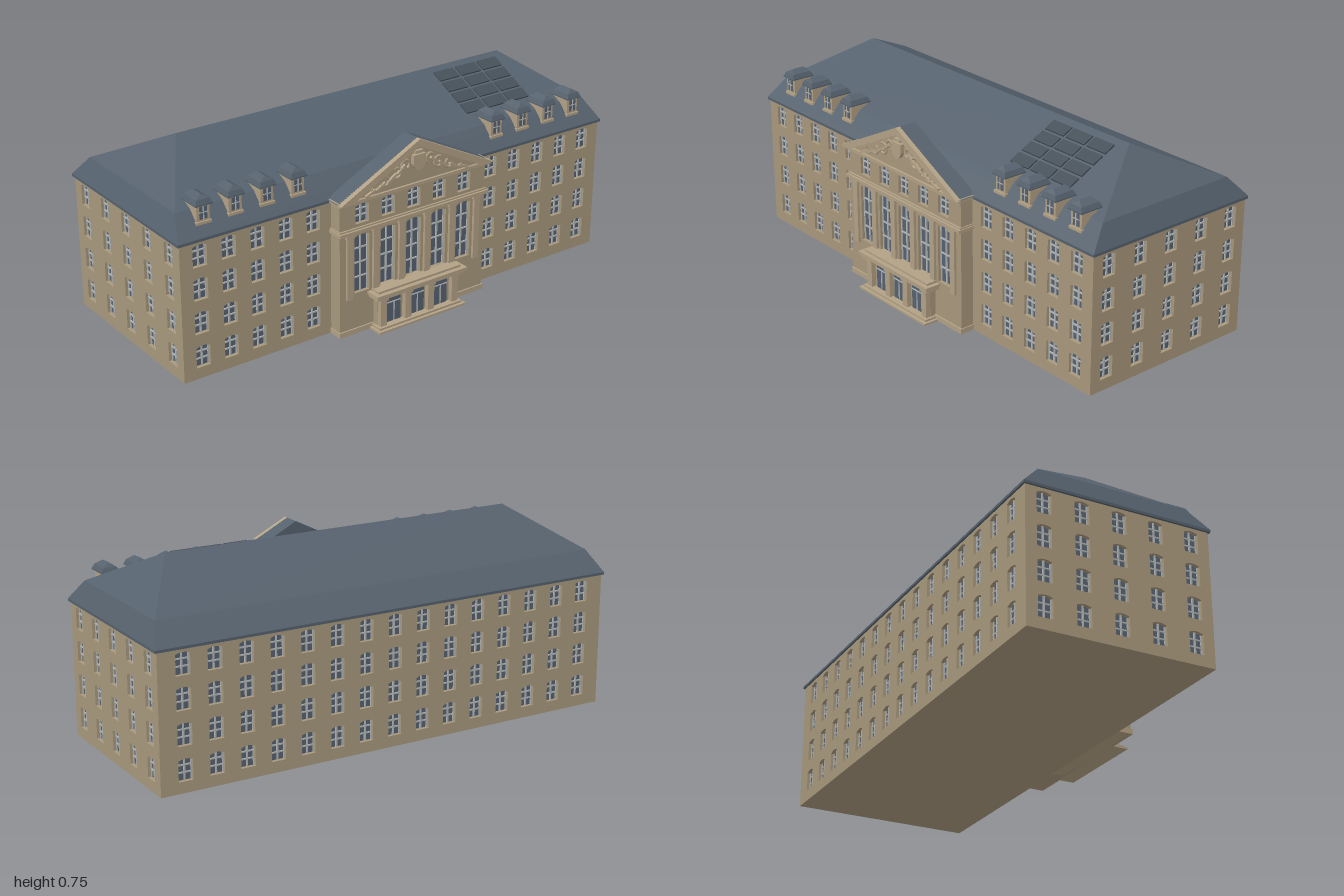
import * as THREE from 'three';
import { mergeGeometries } from 'three/addons/utils/BufferGeometryUtils.js';

const mat = (name, color) => Object.assign(new THREE.MeshStandardMaterial({ color }), { name });

export function createModel() {
  const wallMat = mat('sandstone', 0xa8987c);
  const trimMat = mat('pale stone', 0xb2a185);
  const roofMat = mat('slate', 0x55616d);
  const glassMat = mat('glass', 0x566270);
  const frameMat = mat('window frame', 0xb2b4b4);
  const panelMat = mat('solar panel', 0x465059);

  const model = new THREE.Group();
  model.name = 'building';
  const house = new THREE.Group();
  house.name = 'house';
  house.rotation.y = 0.614;
  model.add(house);

  const add = (name, geo, material, parent = house) => {
    const mesh = new THREE.Mesh(geo, material);
    mesh.name = name;
    parent.add(mesh);
    return mesh;
  };
  // Box given by its limits
  const block = (x0, x1, y0, y1, z0, z1) =>
    new THREE.BoxGeometry(x1 - x0, y1 - y0, z1 - z0).translate((x0 + x1) / 2, (y0 + y1) / 2, (z0 + z1) / 2);
  const polygon = pts => new THREE.Shape(pts.map(p => new THREE.Vector2(...p)));
  const slab = (shape, z0, z1) =>
    new THREE.ExtrudeGeometry(shape, { depth: z1 - z0, bevelEnabled: false, curveSegments: 4 }).translate(0, 0, z0);

  // Roof skin through rectangular rings [halfWidth, halfDepth, y]
  const loft = rings => {
    const pos = [];
    const corner = ([w, d, y], i) => [[-w, y, d], [w, y, d], [w, y, -d], [-w, y, -d]][i % 4];
    for (let r = 0; r + 1 < rings.length; r++) {
      for (let i = 0; i < 4; i++) {
        const a = corner(rings[r], i), b = corner(rings[r], i + 1);
        const c = corner(rings[r + 1], i + 1), d = corner(rings[r + 1], i);
        pos.push(...a, ...b, ...c, ...a, ...c, ...d);
      }
    }
    const geo = new THREE.BufferGeometry();
    geo.setAttribute('position', new THREE.Float32BufferAttribute(pos, 3));
    geo.computeVertexNormals();
    return geo;
  };

  // Wall with gently arched openings, glass behind and glazing bars
  const T = 0.016;
  const makeWall = (name, width, height, openings, x, z, turn) => {
    const g = new THREE.Group();
    g.name = name;
    g.position.set(x, 0, z);
    g.rotation.y = turn;
    house.add(g);
    const w2 = width / 2;
    const shape = polygon([[-w2, 0], [w2, 0], [w2, height], [-w2, height]]);
    const bars = [];
    for (const o of openings) {
      const l = o.x - o.w / 2, r = o.x + o.w / 2, t = o.y + o.h;
      const hole = new THREE.Path();
      hole.moveTo(l, o.y);
      hole.lineTo(l, t - 0.007);
      hole.quadraticCurveTo(o.x, t + 0.007, r, t - 0.007);
      hole.lineTo(r, o.y);
      hole.closePath();
      shape.holes.push(hole);
      bars.push(block(o.x - 0.003, o.x + 0.003, o.y, t, -T, -T + 0.006));
      for (const f of o.bars) {
        const y = o.y + o.h * f;
        bars.push(block(l, r, y - 0.0025, y + 0.0025, -T, -T + 0.006));
      }
      for (const s of [l, r]) bars.push(block(s - 0.004, s + 0.004, o.y, t - 0.006, -T, -T + 0.005));
    }
    add('wallFace', slab(shape, -T, 0), wallMat, g);
    add('glazing', new THREE.PlaneGeometry(width - 2 * T, height - 0.01).translate(0, height / 2, -T + 0.001), glassMat, g);
    add('glazingBars', mergeGeometries(bars), frameMat, g);
  };
  const ROWS = [0.043, 0.172, 0.3, 0.425];
  const grid = xs => ROWS.flatMap(y => xs.map(x => ({ x, y, w: 0.056, h: 0.083, bars: [0.35, 0.68] })));

  // Main block
  const HW = 0.947, HD = 0.362, EAVE = 0.53;
  const wing = [0.405, 0.52, 0.637, 0.753, 0.868];
  makeWall('frontWall', 2 * HW, EAVE, grid([...wing.map(x => -x), ...wing]), 0, HD, 0);
  makeWall('backWall', 2 * HW, EAVE, grid(Array.from({ length: 15 }, (_, i) => (i - 7) * 0.1215)), 0, -HD, Math.PI);
  for (const s of [-1, 1]) {
    makeWall(s < 0 ? 'rightEndWall' : 'leftEndWall', 2 * (HD - T), EAVE,
      grid([-0.29, -0.145, 0, 0.145, 0.29]), s * HW, 0, s * Math.PI / 2);
  }
  add('baseFloor', block(-HW, HW, 0, 0.008, -HD, HD), wallMat);
  add('eaves', block(-0.955, 0.955, EAVE - 0.01, EAVE, -0.369, 0.369), roofMat);
  add('mainRoof', loft([[0.955, 0.369, EAVE], [0.917, 0.295, 0.61], [0.732, 0, 0.755]]), roofMat);

  // Dormers along the front slope
  for (const s of [-1, 1]) {
    for (const x of [0.45, 0.578, 0.706, 0.833]) {
      const d = new THREE.Group();
      d.name = 'dormer';
      d.position.set(s * x, 0, 0);
      house.add(d);
      add('dormerBody', block(-0.026, 0.026, 0.56, 0.638, 0.25, 0.335), trimMat, d);
      add('dormerSill', block(-0.03, 0.03, 0.565, 0.575, 0.32, 0.341), trimMat, d);
      add('dormerGlass', block(-0.015, 0.015, 0.582, 0.628, 0.33, 0.337), glassMat, d);
      add('dormerBars', mergeGeometries([
        block(-0.002, 0.002, 0.582, 0.628, 0.334, 0.339),
        block(-0.015, 0.015, 0.606, 0.609, 0.334, 0.339)]), frameMat, d);
      add('dormerEaves', block(-0.034, 0.034, 0.634, 0.638, 0.25, 0.345), roofMat, d);
      add('dormerCap', loft([[0.034, 0.0475, 0.638], [0.026, 0.04, 0.655], [0, 0.025, 0.67]])
        .translate(0, 0, 0.2975), roofMat, d);
    }
  }

  // Solar panels lying on the upper front slope
  const slope = Math.atan2(0.145, 0.295);
  for (let c = 0; c < 3; c++) {
    for (let r = 0; r < 4; r++) {
      const z = 0.055 + r * 0.054;
      const p = add('solarPanel', new THREE.BoxGeometry(0.094, 0.006, 0.048), panelMat);
      p.position.set(0.435 + c * 0.106, 0.755 - 0.4915 * z + 0.006, z);
      p.rotation.x = slope;
    }
  }

  // Projecting centre bay
  const PW = 0.33, PZ = 0.415;
  const bays = [-0.232, -0.116, 0, 0.116, 0.232];
  add('bayBody', block(-PW, PW, 0, EAVE, 0.34, PZ - T), wallMat);
  makeWall('bayFront', 2 * PW, EAVE, [
    ...bays.map(x => ({ x, y: 0.432, w: 0.058, h: 0.075, bars: [0.35, 0.68] })),
    ...bays.map(x => ({ x, y: 0.16, w: 0.066, h: 0.228, bars: [0.25, 0.5, 0.75] })),
  ], 0, PZ, 0);
  const trims = [
    block(-PW - 0.008, PW + 0.008, 0.402, 0.414, 0.36, PZ + 0.015),
    block(-PW - 0.004, PW + 0.004, 0.414, 0.42, 0.36, PZ + 0.007),
    block(-PW - 0.012, PW + 0.012, 0.522, 0.534, 0.36, PZ + 0.022),
    block(-PW - 0.004, PW + 0.004, 0, 0.02, 0.36, PZ + 0.006),
  ];
  for (let i = 0; i < 6; i++) {
    const x = (i - 2.5) * 0.116;
    trims.push(block(x - 0.013, x + 0.013, 0.145, 0.39, PZ, PZ + 0.01));
    trims.push(block(x - 0.018, x + 0.018, 0.388, 0.403, PZ, PZ + 0.013));
  }
  add('bayTrim', mergeGeometries(trims), trimMat);

  // Gable with raking cornice
  add('gableRoof', slab(polygon([[-0.345, EAVE], [0.345, EAVE], [0, 0.703]]), 0.355, 0.425), roofMat);
  add('tympanum', slab(polygon([[-0.33, EAVE], [0.33, EAVE], [0, 0.695]]), 0.42, 0.428), wallMat);
  const rake = polygon([[-0.345, EAVE], [-0.29, EAVE], [0, 0.675], [0.29, EAVE], [0.345, EAVE], [0, 0.703]]);
  add('rakingCornice', slab(rake, 0.42, 0.444), trimMat);

  // Gable relief: shield, crown and scrolls
  const shield = new THREE.Shape();
  shield.moveTo(-0.027, 0.645);
  shield.lineTo(0.027, 0.645);
  shield.lineTo(0.027, 0.61);
  shield.quadraticCurveTo(0.022, 0.59, 0, 0.583);
  shield.quadraticCurveTo(-0.022, 0.59, -0.027, 0.61);
  add('shield', slab(shield, 0.425, 0.444), trimMat);
  add('crown', block(-0.018, 0.018, 0.648, 0.659, 0.425, 0.44), trimMat);
  for (const s of [-1, 1]) {
    [[0.055, 0.615, 0.018], [0.095, 0.592, 0.02], [0.145, 0.573, 0.017], [0.19, 0.558, 0.013]].forEach(([x, y, r], i) => {
      const scroll = add('scroll', new THREE.TorusGeometry(r, 0.005, 5, 10, 4.2), trimMat);
      scroll.position.set(s * x, y, 0.43);
      scroll.rotation.z = s > 0 ? i : Math.PI - i - 4.2;
      const leaf = add('leaf', new THREE.BoxGeometry(0.045, 0.009, 0.012), trimMat);
      leaf.position.set(s * (x + 0.02), y - 0.014, 0.432);
      leaf.rotation.z = -s * (0.7 - i * 0.1);
    });
  }

  // Entrance porch with three doors
  add('porchBody', block(-0.18, 0.18, 0.012, 0.135, 0.4, 0.44), wallMat);
  const porch = [
    block(-0.2, 0.2, 0.128, 0.14, 0.4, 0.468),
    block(-0.207, 0.207, 0.14, 0.152, 0.4, 0.478),
    block(-0.19, 0.19, 0.152, 0.16, 0.4, 0.46),
    block(-0.2, 0.2, 0, 0.008, 0.4, 0.482),
    block(-0.19, 0.19, 0.008, 0.016, 0.4, 0.47),
  ];
  for (const x of [-0.165, -0.053, 0.053, 0.165]) {
    porch.push(block(x - 0.014, x + 0.014, 0.014, 0.13, 0.43, 0.459));
    porch.push(block(x - 0.018, x + 0.018, 0.117, 0.13, 0.43, 0.463));
  }
  add('porchStone', mergeGeometries(porch), trimMat);
  for (const x of [-0.108, 0, 0.108]) {
    add('door', block(x - 0.031, x + 0.031, 0.016, 0.12, 0.436, 0.443), glassMat);
    add('doorFrame', mergeGeometries([
      block(x - 0.002, x + 0.002, 0.016, 0.095, 0.44, 0.446),
      block(x - 0.031, x + 0.031, 0.093, 0.097, 0.44, 0.446)]), frameMat);
  }
  return model;
}
